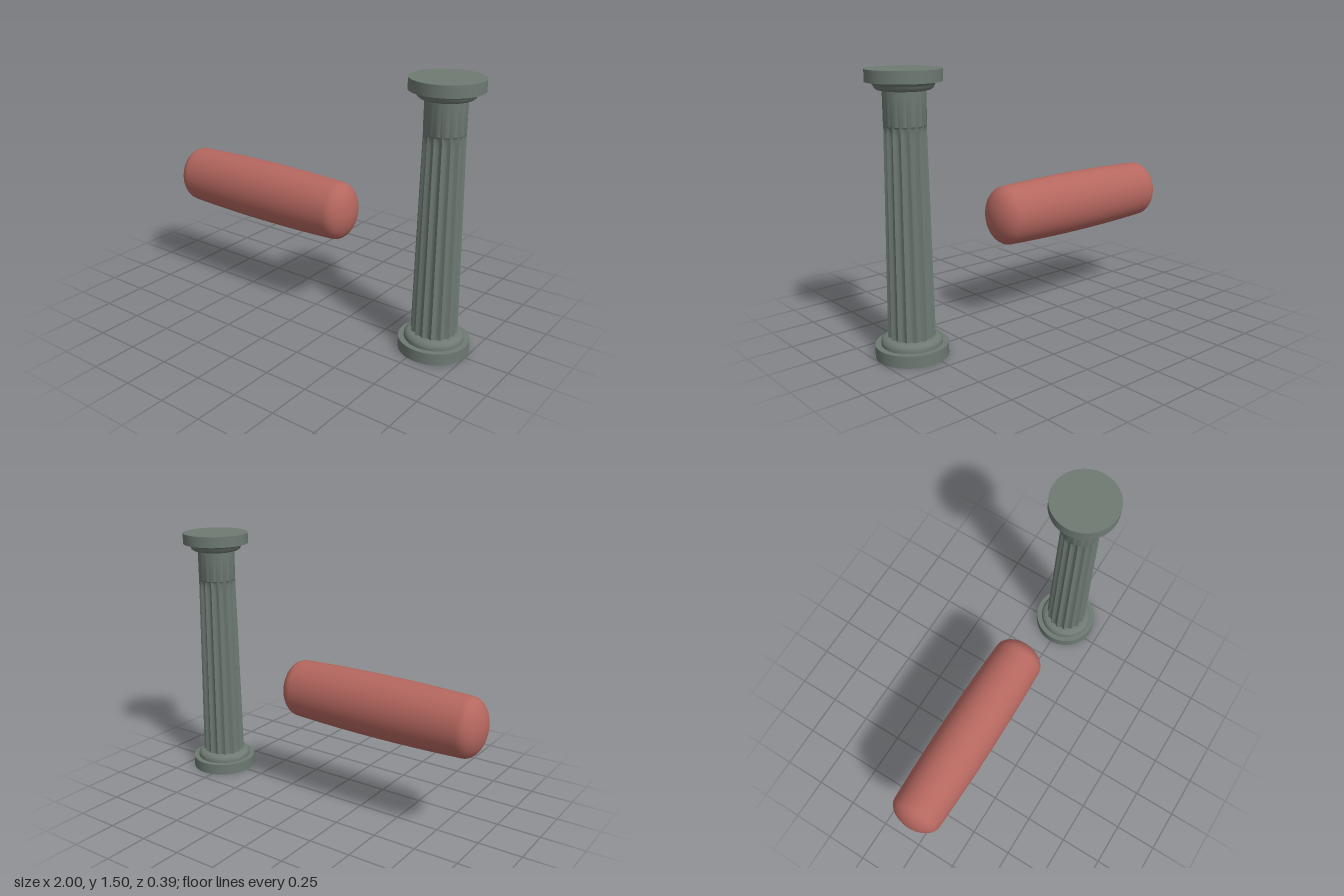
import * as THREE from 'three';
import { toCreasedNormals } from 'three/addons/utils/BufferGeometryUtils.js';

const stone = new THREE.MeshStandardMaterial({ color: 0x6e7a73 });
stone.name = 'grey green stone';
const clay = new THREE.MeshStandardMaterial({ color: 0xb5675f });
clay.name = 'clay red';

function addMesh(parent, name, geometry, material) {
  const mesh = new THREE.Mesh(geometry, material);
  mesh.name = name;
  parent.add(mesh);
  return mesh;
}

const turned = (pairs) => toCreasedNormals(
  new THREE.LatheGeometry(pairs.map(([r, y]) => new THREE.Vector2(r, y)), 64), 0.7);

// Tapered shaft whose flutes end in rounded tops below a plain neck
function flutedShaft() {
  const flutes = 16, perFlute = 10, y0 = 0.1, y1 = 1.41, fluteTop = 1.22, fade = 0.07;
  const levels = [y0, 0.4, 0.7, 1.0, fluteTop - fade];
  for (let i = 1; i <= 10; i++) levels.push(fluteTop - fade * (1 - i / 10) ** 1.5);
  levels.push(y1);
  const geo = new THREE.CylinderGeometry(1, 1, 1, flutes * perFlute, levels.length - 1, true);
  const pos = geo.attributes.position;
  const ring = flutes * perFlute + 1;
  for (let i = 0; i < pos.count; i++) {
    const y = levels[levels.length - 1 - Math.floor(i / ring)];
    const a = ((i % ring) / (ring - 1)) * Math.PI * 2;
    const radius = THREE.MathUtils.mapLinear(Math.min(y, fluteTop), y0, fluteTop, 0.127, 0.109);
    const t = THREE.MathUtils.clamp((fluteTop - y) / fade, 0, 1);
    const depth = 0.013 * Math.sqrt(1 - (1 - t) ** 2);
    const r = radius - depth * Math.abs(Math.sin((a * flutes) / 2));
    pos.setXYZ(i, r * Math.sin(a), y, r * Math.cos(a));
  }
  return toCreasedNormals(geo, 0.75);
}

function createColumn() {
  const column = new THREE.Group();
  column.name = 'column';
  addMesh(column, 'base', turned([
    [0, 0], [0.193, 0], [0.193, 0.066], [0.162, 0.066], [0.162, 0.08],
    [0.159, 0.09], [0.152, 0.099], [0.141, 0.105], [0.127, 0.108], [0, 0.108],
  ]), stone);
  addMesh(column, 'shaft', flutedShaft(), stone);
  addMesh(column, 'capital', turned([
    [0, 1.394], [0.122, 1.394], [0.136, 1.398], [0.146, 1.406], [0.151, 1.417],
    [0.156, 1.426], [0.167, 1.433], [0.18, 1.436], [0.193, 1.437], [0.193, 1.5], [0, 1.5],
  ]), stone);
  column.position.x = 0.806;
  return column;
}

// Slightly bulging roller with rounded ends, oval in section
function createRoller() {
  const half = 0.628, cap = 0.1, body = half - cap;
  const points = [];
  for (let i = 0; i <= 12; i++) {
    const a = (i / 12) * Math.PI / 2;
    points.push(new THREE.Vector2(0.168 * Math.sin(a), -body - cap * Math.cos(a)));
  }
  for (let i = 1; i <= 15; i++) {
    const u = -1 + i / 8;
    points.push(new THREE.Vector2(0.168 + 0.012 * (1 - u * u), u * body));
  }
  for (let i = 12; i >= 0; i--) {
    const a = (i / 12) * Math.PI / 2;
    points.push(new THREE.Vector2(0.168 * Math.sin(a), body + cap * Math.cos(a)));
  }
  const geo = new THREE.LatheGeometry(points, 64);
  geo.rotateZ(-Math.PI / 2);
  geo.scale(1, 1, 0.88);
  return geo;
}

export function createModel() {
  const model = new THREE.Group();
  model.name = 'column and roller';
  model.add(createColumn());
  addMesh(model, 'roller', createRoller(), clay).position.set(-0.372, 0.645, 0);
  return model;
}
